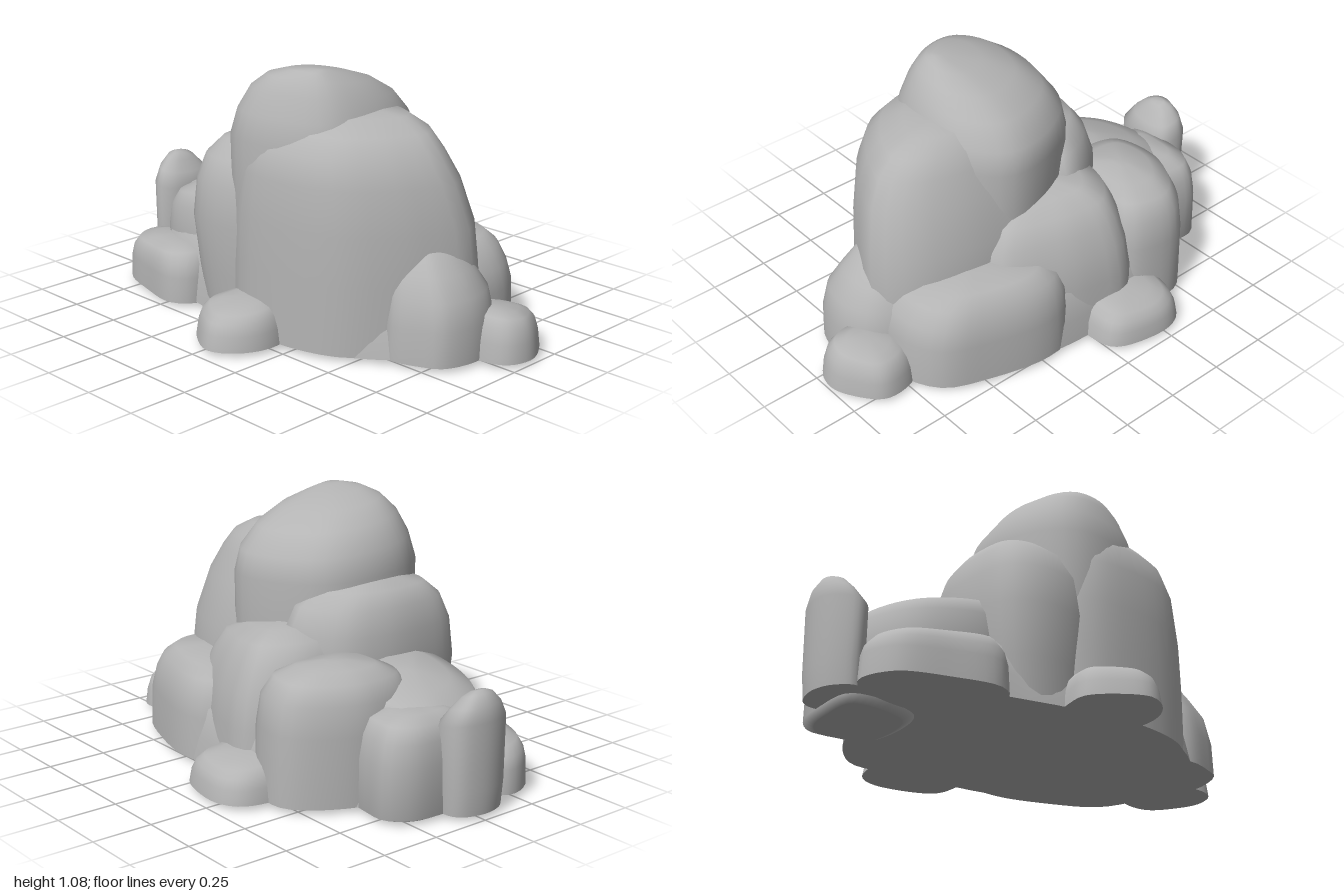
import * as THREE from 'three';

const stone = new THREE.MeshStandardMaterial({ color: 0xb4b4b4 });
stone.name = 'grey stone';

const SIDES = 40;

// Loft one boulder from a plan outline [x, z] through layers [y, scale, dx, dz].
// tilt = [slope in x, slope in z] leans the upper surface.
function boulder(group, name, outline, layers, tilt = [0, 0]) {
  const curve = new THREE.CatmullRomCurve3(
    outline.map(([x, z]) => new THREE.Vector3(x, 0, z)), true, 'centripetal');
  const ring = curve.getSpacedPoints(SIDES).slice(0, SIDES);
  const cx = ring.reduce((s, p) => s + p.x, 0) / SIDES;
  const cz = ring.reduce((s, p) => s + p.z, 0) / SIDES;
  const y0 = layers[0][0];
  const height = layers[layers.length - 1][0] - y0;
  const pos = [], index = [];

  const add = (p, [y, s, dx = 0, dz = 0]) => {
    const x = (p.x - cx) * s, z = (p.z - cz) * s;
    const lean = ((y - y0) / height) ** 2 * (x * tilt[0] + z * tilt[1]);
    pos.push(cx + x + dx, y + lean, cz + z + dz);
  };

  // Side rings
  layers.forEach((layer) => ring.forEach((p) => add(p, layer)));
  for (let j = 0; j < layers.length - 1; j++) {
    for (let i = 0; i < SIDES; i++) {
      const k = (i + 1) % SIDES;
      const a = j * SIDES + i, b = j * SIDES + k, c = a + SIDES, d = b + SIDES;
      index.push(a, c, b, b, c, d);
    }
  }
  // Rounded crown
  const last = layers[layers.length - 1];
  const lastStart = (layers.length - 1) * SIDES;
  const crown = pos.length / 3;
  pos.push(cx + (last[2] || 0), last[0], cz + (last[3] || 0));
  for (let i = 0; i < SIDES; i++) index.push(lastStart + i, crown, lastStart + (i + 1) % SIDES);

  // Flat underside with its own vertices
  const under = pos.length / 3;
  ring.forEach((p) => add(p, layers[0]));
  const middle = pos.length / 3;
  pos.push(cx, y0, cz);
  for (let i = 0; i < SIDES; i++) index.push(middle, under + i, under + (i + 1) % SIDES);

  const geometry = new THREE.BufferGeometry();
  geometry.setAttribute('position', new THREE.Float32BufferAttribute(pos, 3));
  geometry.setIndex(index);
  geometry.computeVertexNormals();
  const mesh = new THREE.Mesh(geometry, stone);
  mesh.name = name;
  group.add(mesh);
}

// Layers of a simple rock with sloping sides and a rounded top
const rounded = (h, y0 = 0.02) => [
  [y0, 1], [y0 + (h - y0) * 0.4, 0.95], [y0 + (h - y0) * 0.7, 0.86],
  [y0 + (h - y0) * 0.88, 0.71], [y0 + (h - y0) * 0.97, 0.46], [h, 0.18],
];

export function createModel() {
  const g = new THREE.Group();
  g.name = 'rockFormation';

  // Broad foot filling the gaps between all rocks
  boulder(g, 'baseMound',
    [[0.8, 0.1], [0.62, 0.28], [0.45, 0.4], [0.2, 0.47], [-0.15, 0.45], [-0.36, 0.41], [-0.7, 0.34],
      [-0.89, 0.12], [-0.85, -0.18], [-0.64, -0.32], [-0.5, -0.51], [-0.1, -0.54], [0.2, -0.52],
      [0.6, -0.43], [0.75, -0.25]],
    [[0.02, 1], [0.12, 0.97], [0.24, 0.91], [0.31, 0.78], [0.34, 0.3]]);

  // Tall central mass
  boulder(g, 'tallBoulder',
    [[0.745, -0.05], [0.7, 0.09], [0.63, 0.22], [0.46, 0.4], [0.2, 0.475], [-0.06, 0.455], [-0.2, 0.3],
      [-0.15, -0.1], [0, -0.28], [0.28, -0.3], [0.5, -0.26], [0.66, -0.18]],
    [[0.02, 1], [0.3, 1], [0.5, 0.97, 0, 0.01], [0.68, 0.88, 0, 0.035], [0.79, 0.78, -0.01, 0.045],
      [0.86, 0.65, -0.01, 0.03], [0.91, 0.43, 0, 0.01], [0.925, 0.14]]);
  boulder(g, 'summitBoulder',
    [[0.39, 0.1], [0.32, 0.33], [0.1, 0.44], [-0.1, 0.43], [-0.24, 0.28], [-0.27, 0.05],
      [-0.2, -0.14], [0, -0.26], [0.2, -0.27], [0.35, -0.12]],
    [[0.02, 0.9], [0.5, 1], [0.78, 1], [0.88, 0.93, 0, -0.005], [0.97, 0.77, 0.01, 0.015],
      [1.03, 0.56, 0.03, 0.05], [1.065, 0.32, 0.06, 0.09], [1.08, 0.12, 0.1, 0.11]], [0, 0.11]);
  boulder(g, 'rightShoulder',
    [[0, 0.1], [0, 0.4], [-0.12, 0.46], [-0.28, 0.46], [-0.38, 0.4], [-0.425, 0.22],
      [-0.42, 0], [-0.34, -0.18], [-0.1, -0.28]],
    [[0.02, 0.9, 0.03], [0.2, 0.95, 0.01], [0.42, 1], [0.58, 0.95], [0.68, 0.83],
      [0.74, 0.63], [0.775, 0.2]]);

  // Lower rocks behind and beside the mass
  boulder(g, 'backLeftRock',
    [[0.75, -0.2], [0.72, 0], [0.5, 0.05], [0.1, -0.15], [0.04, -0.42], [0.12, -0.51],
      [0.25, -0.53], [0.5, -0.47], [0.66, -0.4], [0.73, -0.3]],
    [[0.02, 1], [0.2, 0.98], [0.28, 0.93, -0.01], [0.35, 0.83, -0.02], [0.39, 0.65, -0.02], [0.41, 0.2, -0.02]]);
  boulder(g, 'leftSpur',
    [[0.86, 0.04], [0.82, 0.2], [0.75, 0.245], [0.6, 0.28], [0.45, 0.1], [0.6, -0.2], [0.8, -0.12]],
    [[0.02, 1], [0.16, 0.98], [0.27, 0.9, -0.01], [0.35, 0.74, -0.04], [0.43, 0.55, -0.07], [0.47, 0.2, -0.09]]);
  boulder(g, 'backRock',
    [[0.38, -0.32], [0.1, 0], [-0.3, 0.05], [-0.34, -0.35], [-0.2, -0.54], [-0.05, -0.53], [0.12, -0.48]],
    [[0.02, 1], [0.24, 0.97], [0.37, 0.92, 0, 0.01], [0.47, 0.85, 0, 0.03], [0.55, 0.72, 0, 0.04],
      [0.59, 0.45, 0, 0.04], [0.605, 0.1, 0, 0.04]], [-0.1, 0]);
  boulder(g, 'backRightRock',
    [[-0.2, -0.35], [-0.25, 0], [-0.6, 0], [-0.66, -0.25], [-0.58, -0.45], [-0.48, -0.55],
      [-0.38, -0.56], [-0.23, -0.5]],
    [[0.02, 1], [0.3, 0.98], [0.42, 0.92], [0.49, 0.77], [0.525, 0.5], [0.54, 0.15]]);
  boulder(g, 'rightRock',
    [[-0.28, 0], [-0.3, 0.27], [-0.45, 0.32], [-0.7, 0.27], [-0.82, 0.12], [-0.83, -0.12],
      [-0.64, -0.24], [-0.4, -0.2]],
    [[0.02, 1], [0.26, 1], [0.37, 0.95], [0.43, 0.83], [0.465, 0.5], [0.475, 0.1]], [0.25, 0]);
  boulder(g, 'outerRightRock',
    [[-0.54, -0.25], [-0.56, 0.05], [-0.86, 0.1], [-0.89, -0.1], [-0.87, -0.25], [-0.8, -0.33],
      [-0.7, -0.33], [-0.6, -0.31]],
    [[0, 0.8], [0.02, 1], [0.22, 0.98], [0.31, 0.91], [0.37, 0.77], [0.395, 0.45], [0.4, 0.15]]);
  boulder(g, 'pointedRock',
    [[-0.8, 0], [-0.83, 0.14], [-0.89, 0.18], [-0.97, 0.12], [-1, 0.02], [-0.97, -0.09],
      [-0.92, -0.12], [-0.83, -0.1]],
    [[0.02, 0.95, 0.005], [0.12, 0.98], [0.37, 1], [0.43, 0.75, -0.015], [0.475, 0.45, -0.02], [0.49, 0.2, -0.02]],
    [-0.3, 0]);

  // Small rocks around the foot
  boulder(g, 'frontRightSlab',
    [[-0.37, 0.3], [-0.38, 0.42], [-0.46, 0.48], [-0.65, 0.45], [-0.84, 0.38], [-0.91, 0.25],
      [-0.88, 0.18], [-0.6, 0.1], [-0.42, 0.2]],
    [[0.015, 1], [0.12, 0.98], [0.17, 0.93], [0.21, 0.81], [0.23, 0.5], [0.235, 0.15]], [0.08, 0]);
  boulder(g, 'frontFootRock',
    [[0.2, 0.45], [0.2, 0.57], [0.14, 0.67], [0.05, 0.715], [-0.06, 0.67], [-0.155, 0.58],
      [-0.155, 0.48], [-0.1, 0.32], [0.12, 0.32]],
    rounded(0.18), [0, -0.1]);
  boulder(g, 'leftFootRock',
    [[1, -0.1], [0.97, 0], [0.88, 0.04], [0.7, 0], [0.66, -0.2], [0.73, -0.28], [0.87, -0.295], [0.96, -0.2]],
    rounded(0.195), [0, 0.15]);
  boulder(g, 'backFootRock',
    [[0.02, -0.58], [0, -0.42], [-0.2, -0.34], [-0.38, -0.44], [-0.39, -0.6], [-0.35, -0.68],
      [-0.26, -0.72], [-0.06, -0.69], [0, -0.65]],
    rounded(0.17), [0, 0.15]);

  return g;
}
